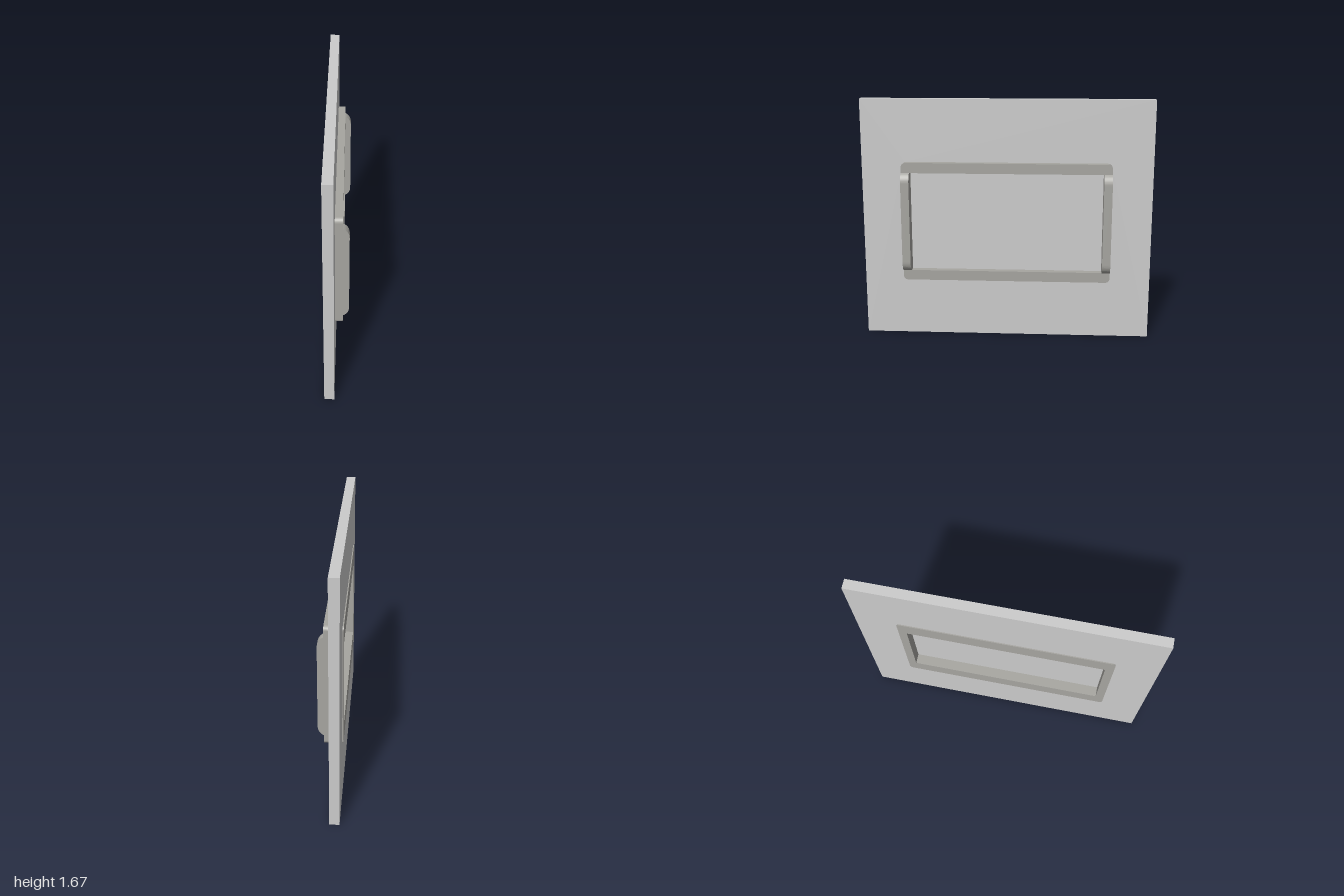
import * as THREE from 'three';

const HEIGHT = 1.67, MID_Y = 0.825;

// Rectangle outline in the (z, y) plane, with optional rounded corners
function rect(path, halfW, y0, y1, r = 0) {
  if (r === 0) {
    path.moveTo(-halfW, y0);
    path.lineTo(halfW, y0);
    path.lineTo(halfW, y1);
    path.lineTo(-halfW, y1);
    path.closePath();
    return path;
  }
  path.moveTo(-halfW + r, y0);
  path.lineTo(halfW - r, y0);
  path.absarc(halfW - r, y0 + r, r, -Math.PI / 2, 0);
  path.lineTo(halfW, y1 - r);
  path.absarc(halfW - r, y1 - r, r, 0, Math.PI / 2);
  path.lineTo(-halfW + r, y1);
  path.absarc(-halfW + r, y1 - r, r, Math.PI / 2, Math.PI);
  path.lineTo(-halfW, y0 + r);
  path.absarc(-halfW + r, y0 + r, r, Math.PI, Math.PI * 1.5);
  return path;
}

// Extrude a (z, y) outline along x from x0 to x1
function slab(shape, x0, x1) {
  const geo = new THREE.ExtrudeGeometry(shape, { depth: x1 - x0, bevelEnabled: false, curveSegments: 8 });
  return geo.rotateY(Math.PI / 2).translate(x0, 0, 0);
}

export function createModel() {
  const group = new THREE.Group();
  const panelMat = new THREE.MeshStandardMaterial({ color: 0xcccccc });
  const frameMat = new THREE.MeshStandardMaterial({ color: 0xa6a5a0 });

  const add = (name, geo, mat) => {
    const mesh = new THREE.Mesh(geo, mat);
    mesh.name = name;
    group.add(mesh);
    return mesh;
  };
  const frameOutline = (path) => rect(path, 0.72, 0.41, 1.24, 0.03);

  // Upright panel, cut out where the frame passes through
  const panel = rect(new THREE.Shape(), 1, 0, HEIGHT);
  panel.holes.push(frameOutline(new THREE.Path()));
  add('panel', slab(panel, -0.075, -0.01), panelMat);

  // Thin sheet closing the opening, flush with the panel's outer face
  add('infillSheet', slab(rect(new THREE.Shape(), 0.7, 0.43, 1.22), -0.013, -0.01), panelMat);

  // Rear surround with a narrower opening
  const rear = frameOutline(new THREE.Shape());
  rear.holes.push(rect(new THREE.Path(), 0.663, 0.53, 1.115));
  add('rearSurround', slab(rear, -0.082, -0.013), frameMat);

  // Raised front surround
  const front = frameOutline(new THREE.Shape());
  front.holes.push(rect(new THREE.Path(), 0.663, 0.48, 1.17));
  add('frontSurround', slab(front, -0.013, 0.04), frameMat);

  // Side grips with curved ends, standing proud of the front surround
  const half = 0.347;
  const grip = new THREE.Shape();
  grip.moveTo(0.04, MID_Y - half);
  grip.bezierCurveTo(0.063, MID_Y - half + 0.012, 0.08, MID_Y - half + 0.035, 0.08, MID_Y - half + 0.07);
  grip.lineTo(0.08, MID_Y + half - 0.07);
  grip.bezierCurveTo(0.08, MID_Y + half - 0.035, 0.063, MID_Y + half - 0.012, 0.04, MID_Y + half);
  grip.closePath();
  const gripGeo = new THREE.ExtrudeGeometry(grip, { depth: 0.057, bevelEnabled: false, curveSegments: 12 });
  add('frontGrip', gripGeo, frameMat).position.z = 0.663;
  add('backGrip', gripGeo, frameMat).position.z = -0.72;

  return group;
}
